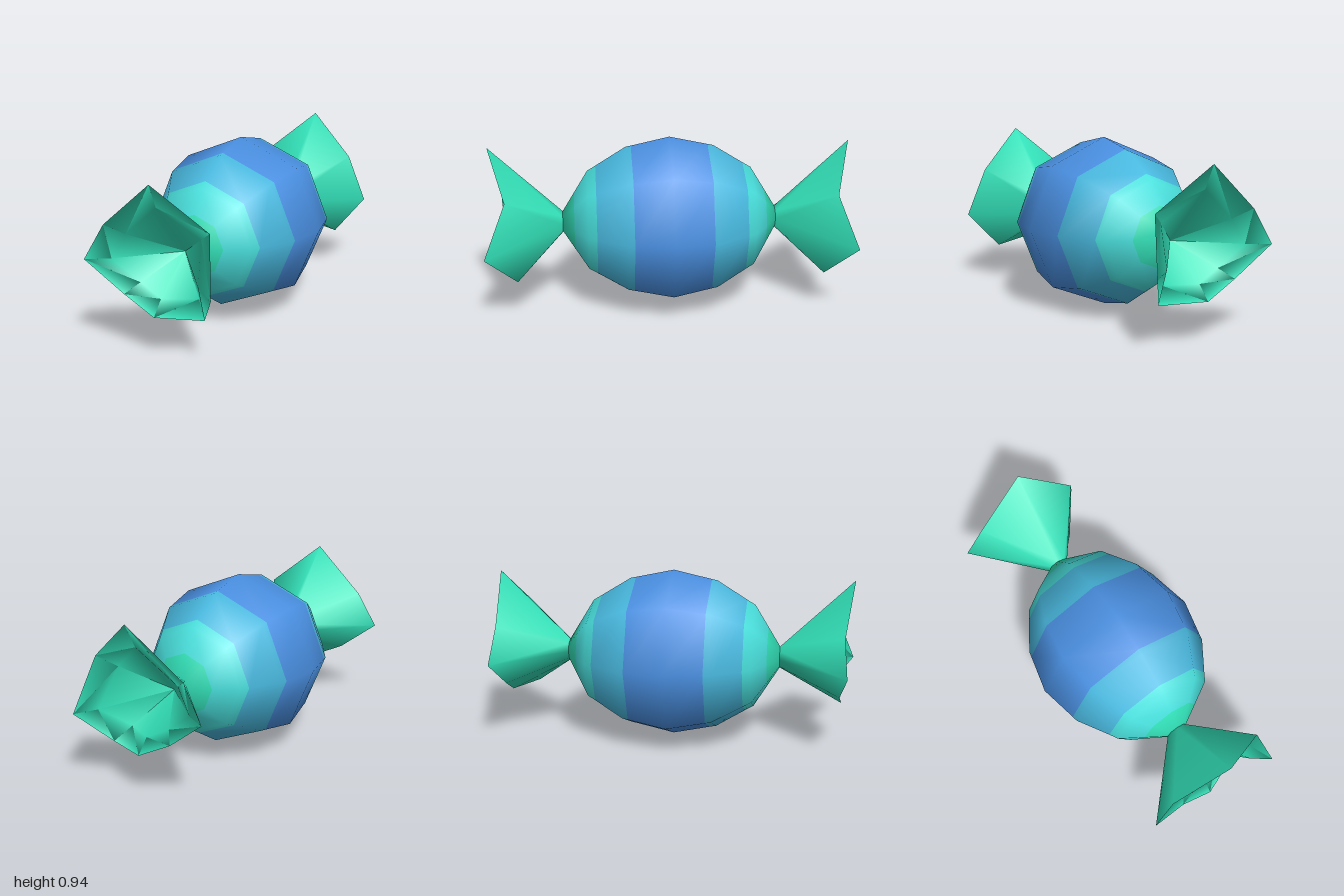
import * as THREE from 'three';

const material = (name, color) => {
  const m = new THREE.MeshStandardMaterial({ color });
  m.name = name;
  return m;
};

const CENTRE_Y = 0.473;
const NECK_Z = 0.59;
const SIDES = 8;

// Eight-sided body along z, with one material per colour band
function makeBody(materials) {
  // [z, radius, band from this ring to the next one outwards]
  const half = [[0, 0.472, 0], [0.21, 0.426, 0], [0.24, 0.42, 1], [0.405, 0.317, 1],
    [0.45, 0.29, 2], [0.525, 0.167, 2], [NECK_Z, 0.06, 3]];
  const bands = [0, 1, 1, 2, 2, 3];
  const points = [
    ...half.slice(1).reverse().map(([z, r]) => new THREE.Vector2(r, -z)),
    ...half.map(([z, r]) => new THREE.Vector2(r, z)),
  ];
  const geometry = new THREE.LatheGeometry(points, SIDES);
  const rowBands = [...bands.slice().reverse(), ...bands];
  for (let s = 0; s < SIDES; s++) {
    rowBands.forEach((band, j) => geometry.addGroup((s * rowBands.length + j) * 6, 6, band));
  }
  // Rounded, ellipsoid-like normals
  const p = geometry.attributes.position;
  const n = new THREE.Vector3();
  for (let i = 0; i < p.count; i++) {
    n.set(p.getX(i) / 0.22, p.getY(i) / 0.38, p.getZ(i) / 0.22).normalize();
    geometry.attributes.normal.setXYZ(i, n.x, n.y, n.z);
  }
  geometry.rotateX(Math.PI / 2);
  const body = new THREE.Mesh(geometry, materials);
  body.name = 'candyBody';
  body.position.y = CENTRE_Y;
  return body;
}

// Crumpled, hollow wrapper end: neck ring, ragged rim, folded lip, hollow tip
function makeWrapperEnd(side, mat, name) {
  const rim = [[0.355, 0.39, 1.0], [0.29, 0.68, 0.885], [0.02, 0.91, 0.985], [-0.28, 0.66, 0.935],
    [-0.39, 0.47, 0.952], [-0.18, 0.31, 0.92], [0, 0.222, 0.935], [0.23, 0.213, 0.838]];
  const neck = rim.map((_, i) => {
    const a = (i / SIDES) * Math.PI * 2;
    return [0.06 * Math.cos(a), CENTRE_Y + 0.06 * Math.sin(a), NECK_Z];
  });
  const lip = rim.map(([x, y, z]) => [x * 0.7, CENTRE_Y + (y - CENTRE_Y) * 0.7, z - 0.07]);
  const tip = rim.map(() => [0, CENTRE_Y, 0.62]);
  const rings = [neck, rim, lip, tip];

  const positions = rings.flat().flatMap(([x, y, z]) => [x, y, z * side]);
  const index = [];
  const tri = (a, b, c) => (side > 0 ? index.push(a, b, c) : index.push(a, c, b));
  for (let r = 0; r < rings.length - 1; r++) {
    for (let i = 0; i < SIDES; i++) {
      const j = (i + 1) % SIDES;
      const a = r * SIDES + i, b = r * SIDES + j;
      tri(a, b, b + SIDES);
      tri(a, b + SIDES, a + SIDES);
    }
  }
  const geometry = new THREE.BufferGeometry();
  geometry.setAttribute('position', new THREE.Float32BufferAttribute(positions, 3));
  geometry.setIndex(index);
  geometry.computeVertexNormals();
  const mesh = new THREE.Mesh(geometry, mat);
  mesh.name = name;
  return mesh;
}

export function createModel() {
  const blue = material('blue', 0x4a90e2);
  const lightBlue = material('light blue', 0x48b8de);
  const turquoise = material('turquoise', 0x48dedb);
  const green = material('mint green', 0x32e0b8);

  const candy = new THREE.Group();
  candy.name = 'wrappedCandy';
  candy.add(
    makeBody([blue, lightBlue, turquoise, green]),
    makeWrapperEnd(1, green, 'frontWrapperEnd'),
    makeWrapperEnd(-1, green, 'backWrapperEnd'),
  );
  return candy;
}
